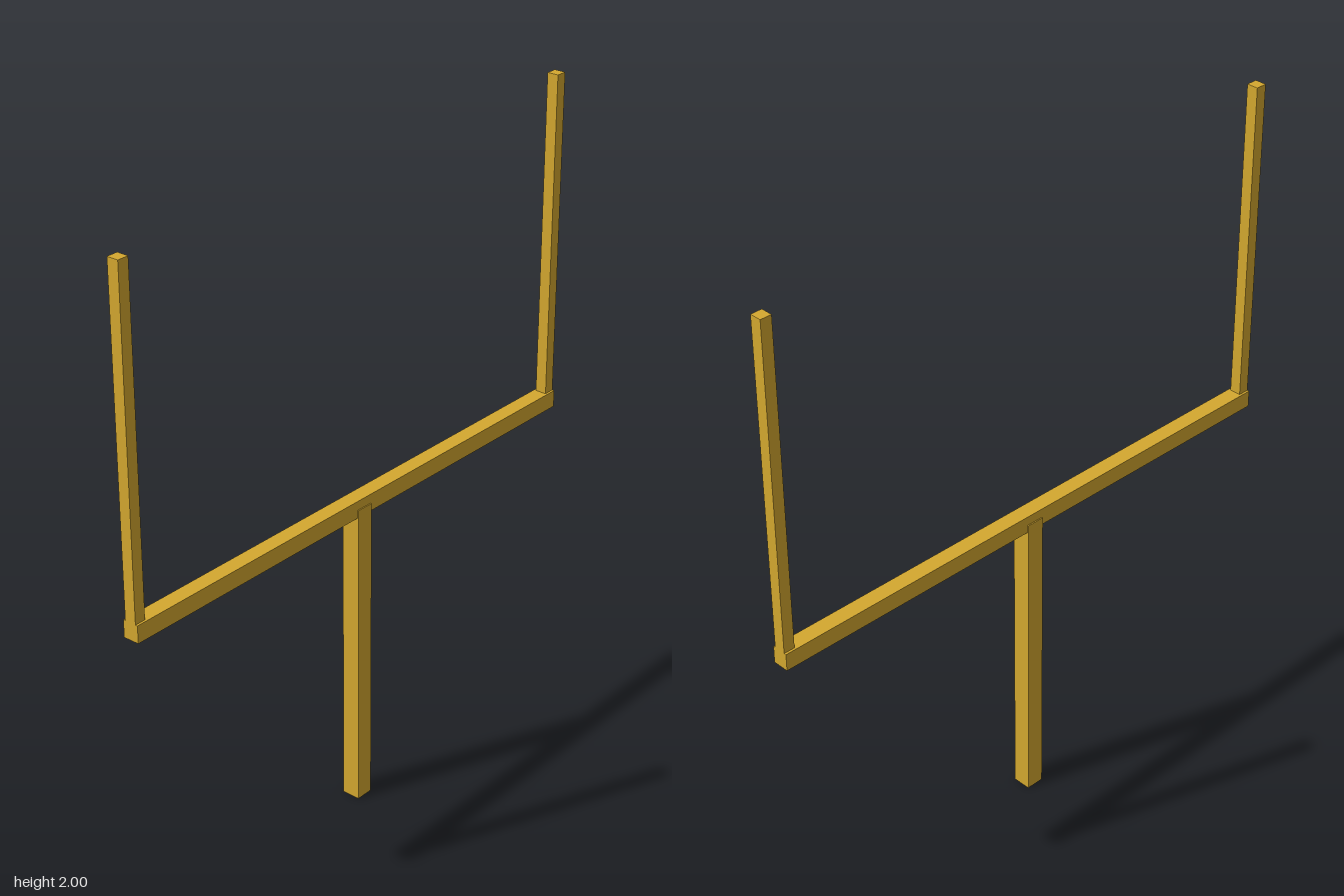
import * as THREE from 'three';

export function createModel() {
  const group = new THREE.Group();
  const yellow = new THREE.MeshStandardMaterial({ color: 0xd4a82f });

  // Square bar spanning bottom..top in y, centred on x = 0
  function bar(name, width, bottom, top, depth, z = 0) {
    const mesh = new THREE.Mesh(new THREE.BoxGeometry(width, top - bottom, depth), yellow);
    mesh.name = name;
    mesh.position.set(0, (bottom + top) / 2, z);
    group.add(mesh);
  }

  // Central support, reaching into the crossbar
  bar('post', 0.057, 0, 0.97, 0.057);

  // Horizontal beam
  bar('crossbar', 0.05, 0.945, 0.998, 1.804);

  // Slim uprights flush with the crossbar ends
  for (const side of [1, -1]) {
    bar(side > 0 ? 'frontUpright' : 'backUpright', 0.036, 0.97, 2, 0.035, side * 0.8845);
  }

  return group;
}
